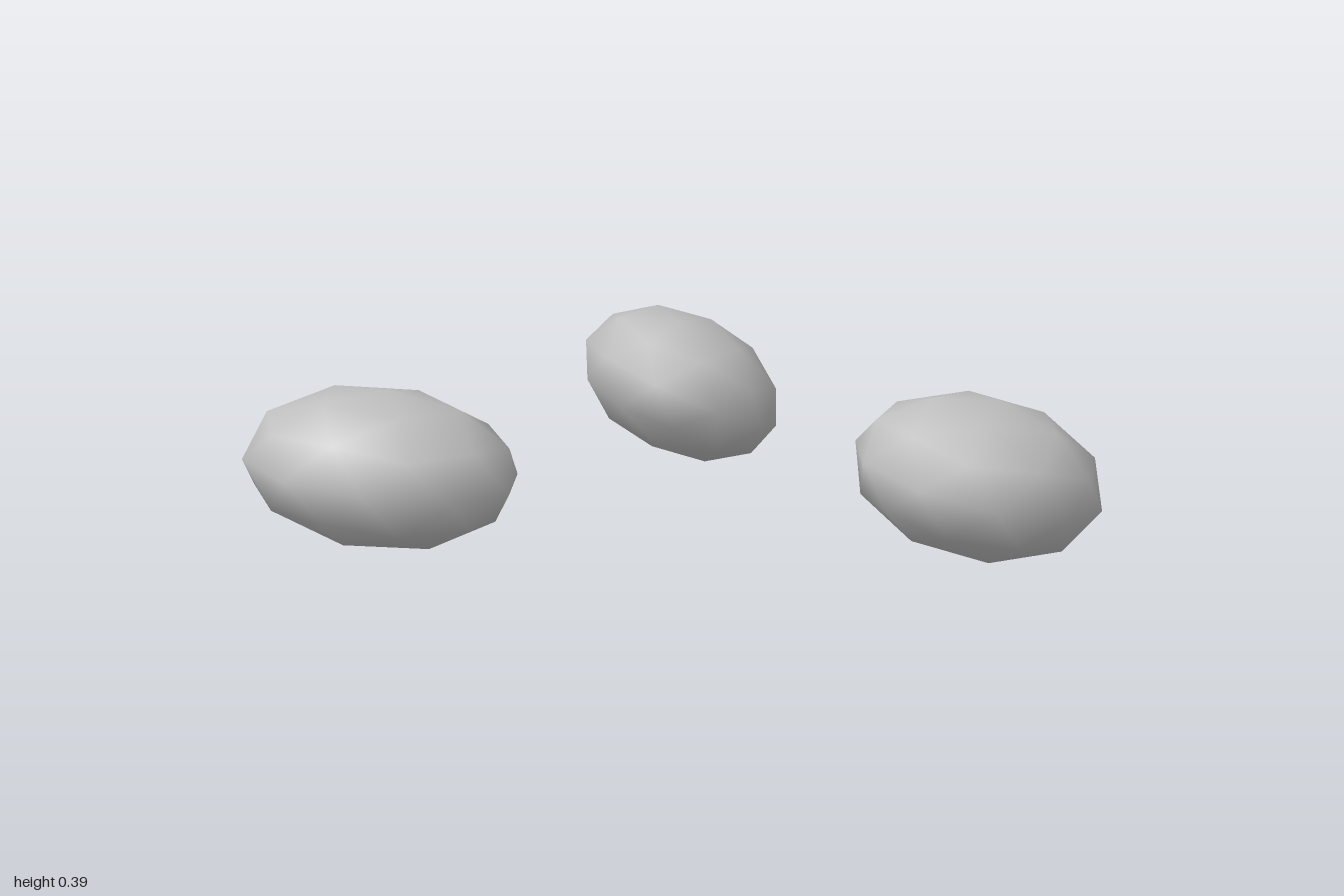
import * as THREE from 'three';

export function createModel() {
  const model = new THREE.Group();
  model.name = 'pebbles';

  const stone = new THREE.MeshStandardMaterial({ color: 0xc0c0c0 });
  stone.name = 'stone grey';

  // One flattened low-poly pebble with smooth normals, a vertex pointing up
  const pebble = new THREE.IcosahedronGeometry(1, 1);
  pebble.rotateZ(-Math.atan(2 / (1 + Math.sqrt(5))));
  pebble.scale(0.33, 0.187, 0.278);

  // Each pebble: position, then pitch, yaw and roll
  const placements = [
    ['rightPebble', [-0.688, 0.2, 0.433], [0, 0, -0.12]],
    ['backPebble', [-0.023, 0.199, -0.432], [-0.13, 1.61, -0.43]],
    ['leftPebble', [0.71, 0.2, 0.446], [0, 0.8, -0.26]],
  ];
  for (const [name, position, [pitch, yaw, roll]] of placements) {
    const mesh = new THREE.Mesh(pebble, stone);
    mesh.name = name;
    mesh.position.set(...position);
    mesh.rotation.set(pitch, yaw, roll, 'ZXY');
    model.add(mesh);
  }
  return model;
}
